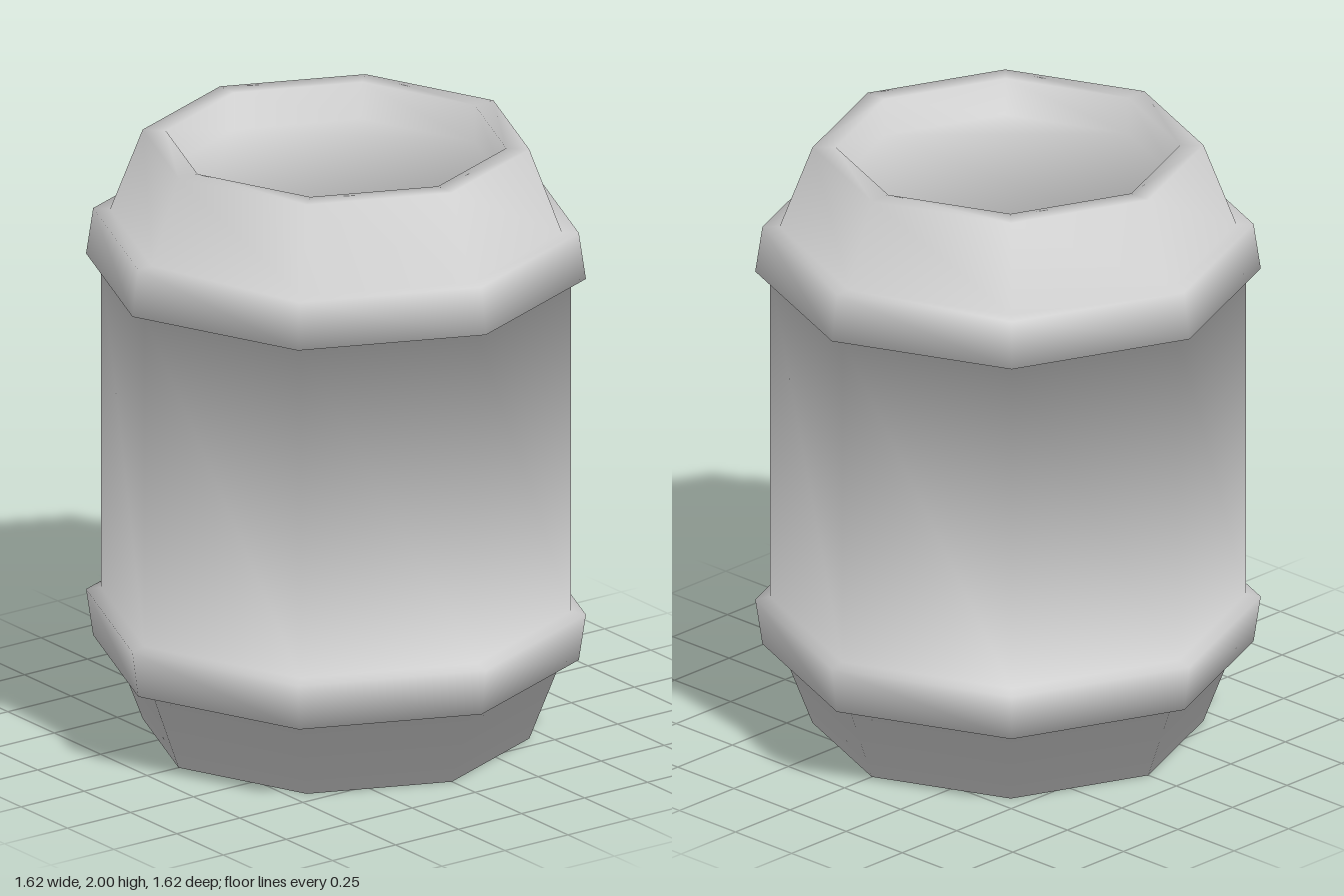
import * as THREE from 'three';

const SIDES = 8;
const HALF = Math.PI / SIDES;
const RECESS = 0.125; // depth of the end caps
const MOUTH = 0.55;   // radius of the end caps

// Soft shading: each ring of corners takes the angle-weighted mean of the faces meeting there
function ringNormals(profile) {
  const normals = profile.map(() => new THREE.Vector2());
  for (let i = 0; i < profile.length - 1; i++) {
    const edge = profile[i + 1].clone().sub(profile[i]);
    const face = new THREE.Vector2(edge.y, -edge.x * Math.cos(HALF)).normalize();
    face.x *= Math.cos(HALF);
    const lean = Math.sin(HALF) * edge.x / edge.length();
    normals[i].addScaledVector(face, 2 * Math.acos(-lean));
    normals[i + 1].addScaledVector(face, 2 * Math.acos(lean));
  }
  // the flat caps add to the first and last ring
  normals[0].y -= Math.PI - 2 * HALF;
  normals[normals.length - 1].y += Math.PI - 2 * HALF;
  return normals.map((n) => n.normalize());
}

// Ribbed shell from the profile
function createShell(profile, normals) {
  const geometry = new THREE.LatheGeometry(profile, SIDES);
  const normal = geometry.attributes.normal;
  for (let i = 0; i < normal.count; i++) {
    const n = normals[i % profile.length];
    const angle = Math.floor(i / profile.length) * 2 * HALF;
    normal.setXYZ(i, n.x * Math.sin(angle), n.y, n.x * Math.cos(angle));
  }
  return geometry;
}

// Flat cap facing up, shaded to blend into the recess wall
function createCap(edgeNormal) {
  const corners = Array.from({ length: SIDES }, (_, i) =>
    new THREE.Vector2(Math.cos(i * 2 * HALF), Math.sin(i * 2 * HALF)).multiplyScalar(MOUTH));
  const geometry = new THREE.ShapeGeometry(new THREE.Shape(corners)).rotateX(-Math.PI / 2);
  const { position, normal } = geometry.attributes;
  for (let i = 0; i < position.count; i++) {
    const s = edgeNormal.x / MOUTH;
    normal.setXYZ(i, position.getX(i) * s, edgeNormal.y, position.getZ(i) * s);
  }
  return geometry;
}

export function createModel() {
  const group = new THREE.Group();
  const material = new THREE.MeshStandardMaterial({ color: 0xcccccc });

  // Lower half of the profile, from the recess out and up to the wall
  const lower = [
    [MOUTH, RECESS], // recess wall
    [MOUTH, 0],      // lip
    [0.625, 0],      // rim
    [0.73, 0.275],   // tapered end
    [0.785, 0.275],  // collar
    [0.808, 0.43],
    [0.76, 0.44],    // wall
  ];
  // Upper half mirrors the lower one
  const upper = lower.map(([r, y]) => [r, 2 - y]).reverse();
  const profile = [...lower, ...upper].map(([r, y]) => new THREE.Vector2(r, y));
  const normals = ringNormals(profile);

  const shell = new THREE.Mesh(createShell(profile, normals), material);
  shell.name = 'barrelShell';
  group.add(shell);

  // Recessed caps at both ends
  const capGeometry = createCap(normals[normals.length - 1]);
  const topCap = new THREE.Mesh(capGeometry, material);
  topCap.name = 'topCap';
  topCap.position.y = 2 - RECESS;
  const bottomCap = new THREE.Mesh(capGeometry, material);
  bottomCap.name = 'bottomCap';
  bottomCap.position.y = RECESS;
  bottomCap.rotation.x = Math.PI;
  group.add(topCap, bottomCap);
  return group;
}
